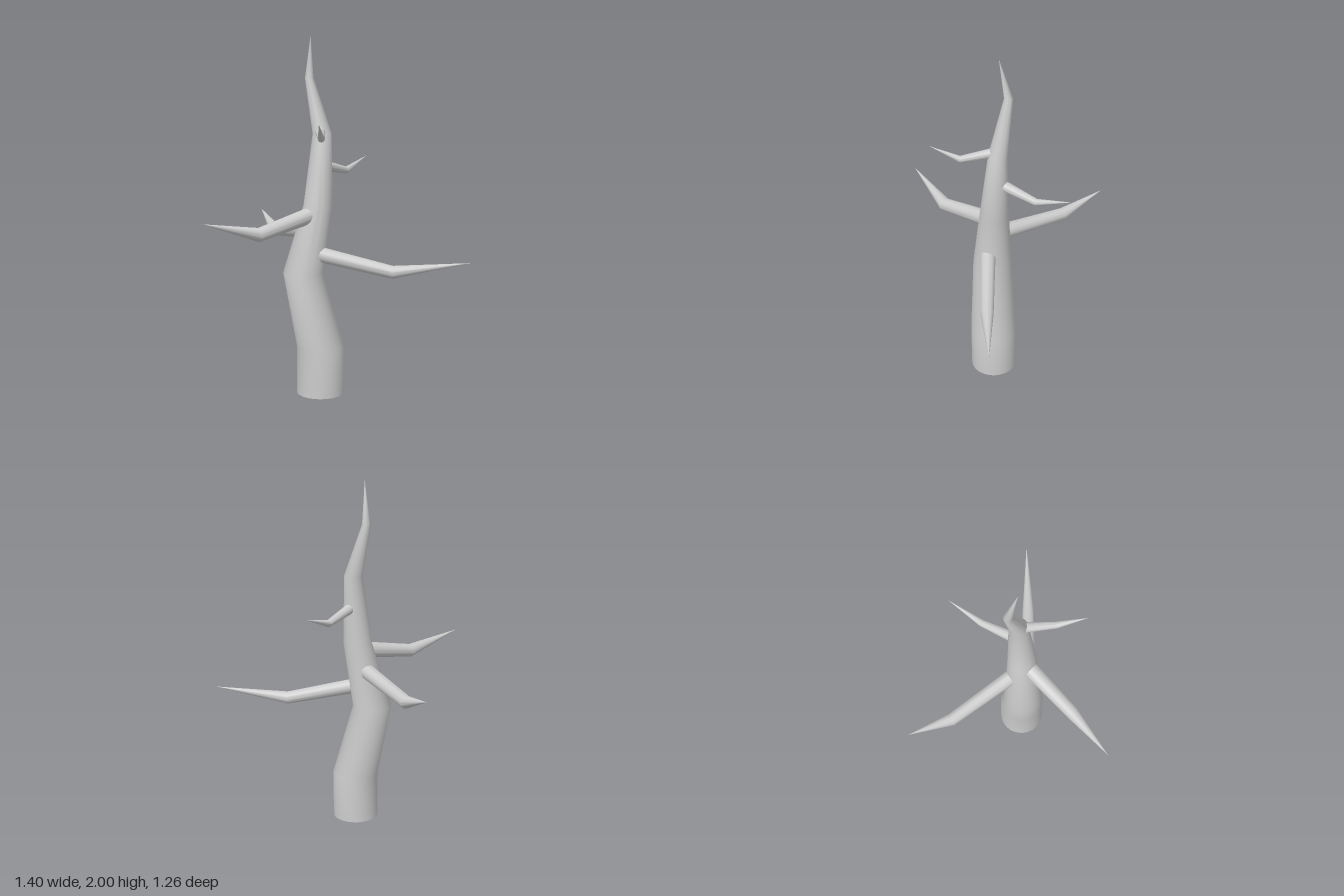
import * as THREE from 'three';
import { toCreasedNormals } from 'three/addons/utils/BufferGeometryUtils.js';

const SIDES = 32;

// Skin a round limb over rings [x, y, z, radius], all facing along axis; last ring is a point
function limbGeometry(rings, axis) {
  const turn = new THREE.Quaternion().setFromUnitVectors(new THREE.Vector3(0, 1, 0), axis);
  const positions = [];
  const indices = [];
  const v = new THREE.Vector3();
  for (const [x, y, z, r] of rings) {
    for (let i = 0; i < SIDES; i++) {
      const a = (i / SIDES) * Math.PI * 2;
      v.set(Math.sin(a) * r, 0, Math.cos(a) * r).applyQuaternion(turn);
      positions.push(x + v.x, y + v.y, z + v.z);
    }
  }
  const last = rings.length - 2;
  for (let k = 0; k <= last; k++) {
    for (let i = 0; i < SIDES; i++) {
      const a = k * SIDES + i;
      const b = k * SIDES + ((i + 1) % SIDES);
      indices.push(a, b, a + SIDES);
      if (k < last) indices.push(b, b + SIDES, a + SIDES);
    }
  }
  // Flat cap at the base
  const centre = positions.length / 3;
  positions.push(...rings[0].slice(0, 3));
  for (let i = 0; i < SIDES; i++) indices.push(centre, (i + 1) % SIDES, i);

  const geometry = new THREE.BufferGeometry();
  geometry.setAttribute('position', new THREE.Float32BufferAttribute(positions, 3));
  geometry.setIndex(indices);
  return toCreasedNormals(geometry, 0.6);
}

export function createModel() {
  const tree = new THREE.Group();
  tree.name = 'bareTree';
  const material = new THREE.MeshStandardMaterial({ color: 0xcccccc });

  const addLimb = (name, rings, axis) => {
    const mesh = new THREE.Mesh(limbGeometry(rings, axis), material);
    mesh.name = name;
    tree.add(mesh);
  };

  // Crooked trunk, tapering to a point
  addLimb('trunk', [
    [0.032, 0, 0.145, 0.132],
    [0.032, 0.27, 0.145, 0.132],
    [-0.05, 0.69, 0.09, 0.111],
    [0.025, 1.07, 0.127, 0.081],
    [0.054, 1.465, 0.118, 0.053],
    [0.022, 1.765, 0.026, 0.024],
    [0.005, 2, 0.075, 0],
  ], new THREE.Vector3(0, 1, 0));

  // Branches: base, elbow and tip, each dipping and then rising
  const branches = {
    lowerLeftBranch: [[0.015, 0.8, 0.165, 0.043], [0.345, 0.71, 0.4, 0.036], [0.7, 0.77, 0.63, 0]],
    lowerBackBranch: [[0.008, 0.915, 0.035, 0.043], [0.003, 0.859, -0.375, 0.036], [0.038, 0.945, -0.635, 0]],
    rightBranch: [[-0.045, 1.015, 0.14, 0.046], [-0.373, 0.946, 0.2, 0.038], [-0.7, 1.03, 0.2, 0]],
    upperLeftBranch: [[0.07, 1.287, 0.11, 0.031], [0.265, 1.24, 0.018, 0.02], [0.455, 1.308, -0.073, 0]],
    upperFrontBranch: [[0.03, 1.475, 0.14, 0.028], [-0.047, 1.453, 0.295, 0.019], [-0.135, 1.54, 0.43, 0]],
  };
  for (const [name, rings] of Object.entries(branches)) {
    const base = new THREE.Vector3(...rings[0]);
    const tip = new THREE.Vector3(...rings[2]);
    addLimb(name, rings, tip.sub(base).normalize());
  }
  return tree;
}
